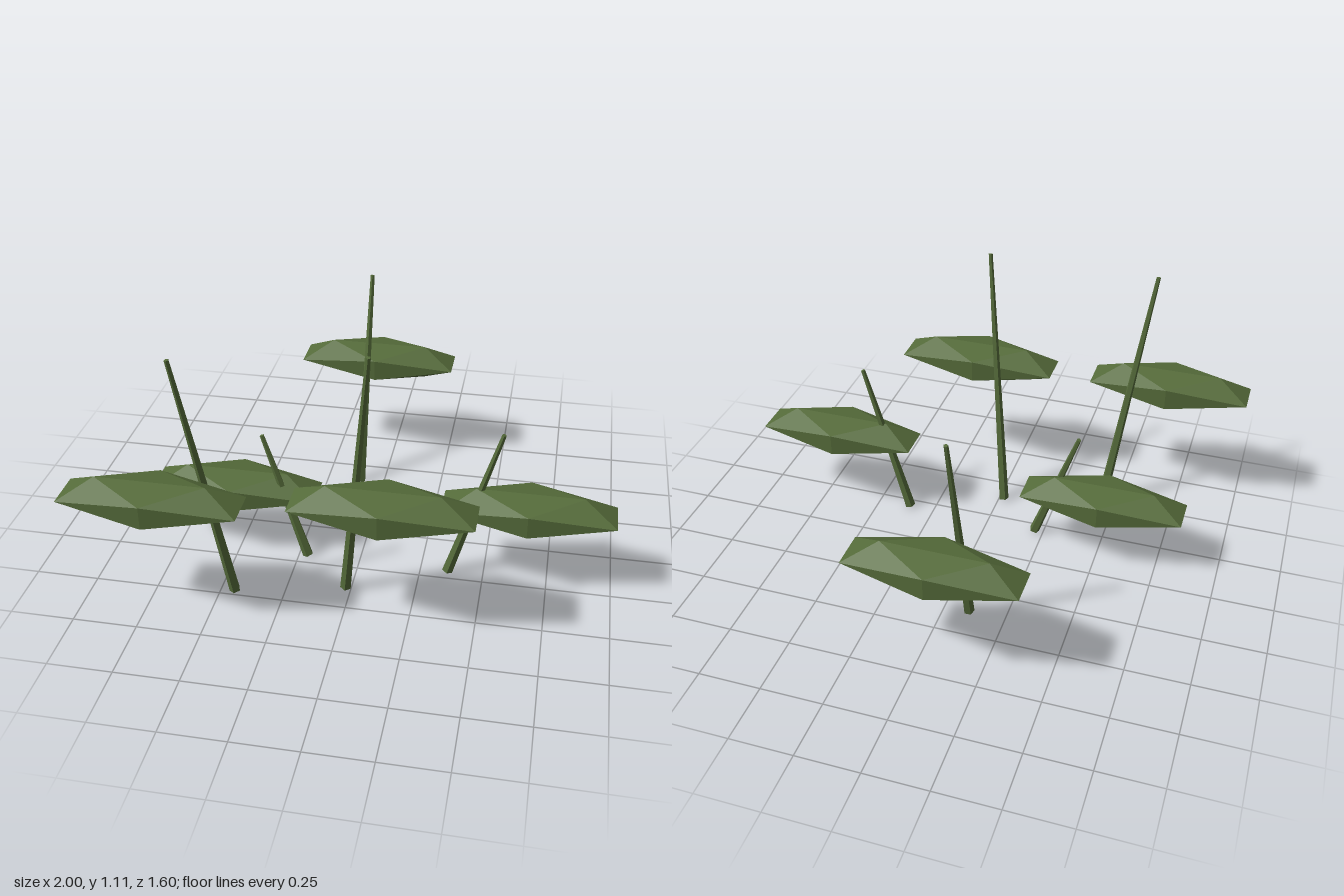
import * as THREE from 'three';

// Each plant: leaf centre, stem base and stem tip
const PLANTS = [
  { leaf: [-0.667, 0.542, 0.678], base: [-0.443, 0.007, 0.475], tip: [-0.585, 1.073, 0.606] },
  { leaf: [-0.51, 0.272, 0.143], base: [-0.212, 0.008, 0.203], tip: [-0.392, 0.533, 0.167] },
  { leaf: [-0.073, 0.466, -0.68], base: [-0.102, 0.007, -0.372], tip: [-0.084, 0.918, -0.566] },
  { leaf: [0.163, 0.563, 0.62], base: [-0.021, 0.007, 0.381], tip: [0.097, 1.11, 0.536] },
  { leaf: [0.663, 0.34, 0.21], base: [0.358, 0.007, 0.206], tip: [0.549, 0.662, 0.21] },
];

export function createModel() {
  const group = new THREE.Group();
  group.name = 'leafyPlants';
  const green = new THREE.MeshStandardMaterial({ color: 0x556b3a, flatShading: true });
  green.name = 'olive green';

  // Flattened faceted leaf, shared by every plant
  const leafGeometry = new THREE.IcosahedronGeometry(1, 0).scale(0.391, 0.086, 0.145);
  const up = new THREE.Vector3(0, 1, 0);

  PLANTS.forEach(({ leaf, base, tip }) => {
    const plant = new THREE.Group();
    plant.name = 'plant';

    const leafMesh = new THREE.Mesh(leafGeometry, green);
    leafMesh.name = 'leaf';
    leafMesh.position.set(...leaf);

    // Tapered stem leaning from base to tip
    const a = new THREE.Vector3(...base);
    const b = new THREE.Vector3(...tip);
    const dir = b.clone().sub(a);
    const stem = new THREE.Mesh(new THREE.CylinderGeometry(0.009, 0.022, dir.length(), 5), green);
    stem.name = 'stem';
    stem.position.copy(a).add(b).multiplyScalar(0.5);
    stem.quaternion.setFromUnitVectors(up, dir.normalize());

    plant.add(leafMesh, stem);
    group.add(plant);
  });
  return group;
}
